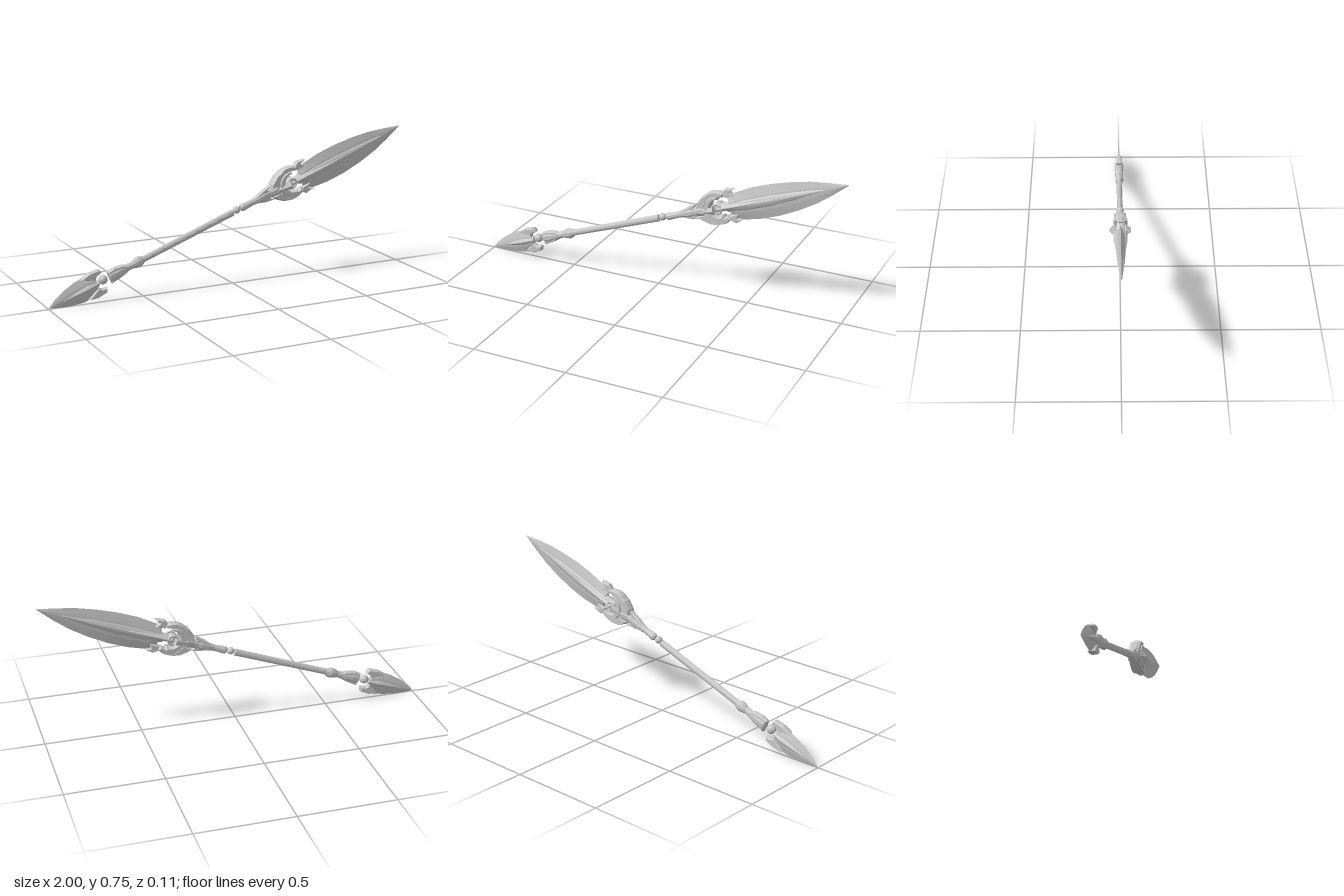
import * as THREE from 'three';

const steel = new THREE.MeshStandardMaterial({ color: 0xc8c8c8 });
steel.name = 'pale steel';
steel.flatShading = true;

// Cross-sections as [y, z] fractions, listed around the +x axis
const LEAF = [[1, 0], [0.45, 0.75], [0.1, 1], [-0.1, 1], [-0.45, 0.75], [-1, 0],
  [-0.45, -0.75], [-0.1, -1], [0.1, -1], [0.45, -0.75]];
const ROUND = Array.from({ length: 10 }, (_, i) => {
  const a = (i / 10) * Math.PI * 2;
  return [Math.cos(a), Math.sin(a)];
});

// Skins rings [x, top, bottom, halfDepth] with the given cross-section
function loft(rings, section) {
  const n = section.length, pos = [], idx = [];
  rings.forEach(([x, top, bottom, z]) => section.forEach(([fy, fz]) =>
    pos.push(x, (top + bottom) / 2 + fy * (top - bottom) / 2, fz * z)));
  for (let i = 0; i < rings.length - 1; i++) {
    for (let j = 0; j < n; j++) {
      const k = (j + 1) % n, a = i * n;
      idx.push(a + j, a + k, a + n + k, a + j, a + n + k, a + n + j);
    }
  }
  const last = (rings.length - 1) * n;
  for (let j = 1; j < n - 1; j++) {
    idx.push(0, j + 1, j, last, last + j, last + j + 1);
  }
  const geo = new THREE.BufferGeometry();
  geo.setAttribute('position', new THREE.Float32BufferAttribute(pos, 3));
  geo.setIndex(idx);
  const flat = geo.toNonIndexed();
  flat.computeVertexNormals();
  return flat;
}

// Bevelled plate centred on z = 0; points are [x, y]
function plate(shape, thickness) {
  const bevel = thickness * 0.3;
  const geo = new THREE.ExtrudeGeometry(shape, {
    depth: thickness - bevel * 2, bevelEnabled: true, bevelThickness: bevel,
    bevelSize: 0.006, bevelOffset: -0.006, bevelSegments: 1, curveSegments: 14,
  });
  return geo.translate(0, 0, bevel - thickness / 2);
}
const polygon = (pts) => new THREE.Shape(pts.map(([x, y]) => new THREE.Vector2(x, y)));

function crescent(r, inner, shift, open) {
  const pts = [];
  for (let i = 0; i <= 18; i++) {
    const a = open + (i / 18) * (Math.PI * 2 - open * 2);
    pts.push([r * Math.cos(a), r * Math.sin(a)]);
  }
  for (let i = 17; i > 0; i--) {
    const a = open + (i / 18) * (Math.PI * 2 - open * 2);
    pts.push([shift + inner * Math.cos(a), inner * Math.sin(a)]);
  }
  return polygon(pts);
}

export function createModel() {
  const model = new THREE.Group();
  const spear = new THREE.Group();
  spear.name = 'spear';
  model.add(spear);
  const add = (name, geo, x = 0, y = 0, z = 0) => {
    const mesh = new THREE.Mesh(geo, steel);
    mesh.name = name;
    mesh.position.set(x, y, z);
    spear.add(mesh);
    return mesh;
  };
  const round = (name, rings) =>
    add(name, loft(rings.map(([x, ry, rz]) => [x, ry, -ry, rz]), ROUND));

  // Head blade: thin leaf with raised panel and spine
  add('headBlade', loft([
    [0.42, 0.045, -0.055, 0.018], [0.46, 0.062, -0.082, 0.018], [0.56, 0.074, -0.094, 0.016],
    [0.67, 0.074, -0.094, 0.014], [0.78, 0.065, -0.082, 0.011], [0.88, 0.05, -0.063, 0.008],
    [0.97, 0.028, -0.036, 0.006], [1.03, 0.011, -0.014, 0.004], [1.066, 0.001, -0.001, 0.001],
  ], LEAF));
  add('headPanel', loft([
    [0.4, 0.022, -0.03, 0.028], [0.5, 0.036, -0.05, 0.025], [0.64, 0.038, -0.052, 0.022],
    [0.78, 0.026, -0.036, 0.018], [0.94, 0.001, -0.004, 0.011],
  ], LEAF));
  add('headSpine', loft([
    [0.36, 0.022, -0.022, 0.036], [0.44, 0.02, -0.022, 0.034], [0.55, 0.012, -0.016, 0.029],
    [0.72, 0.001, -0.004, 0.019],
  ], LEAF));

  // Head guard: layered crescents around a jewel
  add('guardCrescent', plate(crescent(0.09, 0.056, 0.02, 0.85), 0.05), 0.352, 0.002);
  add('guardInnerCrescent', plate(crescent(0.066, 0.044, 0.012, 1.15), 0.068), 0.35, 0.002);
  add('guardJewel', new THREE.IcosahedronGeometry(0.03, 1), 0.355, 0.002);
  for (const side of [1, -1]) {
    add('guardRing', new THREE.TorusGeometry(0.024, 0.007, 5, 12), 0.355, 0.002, side * 0.028);
    // Thorns hugging the blade root
    const thorn = [[0.405, 0.048], [0.4, 0.075], [0.425, 0.093], [0.475, 0.083], [0.445, 0.07], [0.46, 0.045]]
      .map(([x, y]) => [x, y * side]);
    add('guardThorn', plate(polygon(thorn), 0.036));
    const fin = [[0.235, 0.02], [0.25, 0.046], [0.29, 0.075], [0.34, 0.086], [0.31, 0.05], [0.29, 0.018]]
      .map(([x, y]) => [x, y * side]);
    add('guardFin', plate(polygon(fin), 0.056));
    // Cheeks swelling out to the front and back
    const cheek = add('guardCheek', new THREE.ConeGeometry(0.022, 0.12, 5), 0.285, 0, side * 0.024);
    cheek.rotation.set(0, -side * 0.18, Math.PI / 2);
  }

  // Neck with carved bulges
  round('neck', [
    [0.05, 0.016, 0.014], [0.062, 0.021, 0.019], [0.085, 0.019, 0.017], [0.12, 0.017, 0.015],
    [0.155, 0.022, 0.02], [0.19, 0.03, 0.022], [0.21, 0.026, 0.019], [0.235, 0.025, 0.022],
    [0.27, 0.035, 0.03], [0.31, 0.028, 0.026],
  ]);
  for (const side of [1, -1]) {
    const leaf = [[0.13, 0.01], [0.185, 0.032], [0.245, 0.042], [0.225, 0.024], [0.25, 0.01]]
      .map(([x, y]) => [x, y * side]);
    add('neckLeaf', plate(polygon(leaf), 0.03));
  }
  add('neckBall', new THREE.IcosahedronGeometry(0.02, 1), 0.026, 0.003);

  // Shaft with raised strips and end collar
  round('shaft', [[-0.565, 0.017, 0.013], [0.002, 0.019, 0.014]]);
  for (const side of [1, -1]) {
    add('shaftStrip', new THREE.BoxGeometry(0.54, 0.008, 0.004), -0.28, 0, side * 0.013);
  }
  round('shaftCollar', [
    [-0.6, 0.018, 0.015], [-0.578, 0.026, 0.021], [-0.56, 0.03, 0.023],
    [-0.545, 0.026, 0.019], [-0.53, 0.018, 0.014],
  ]);

  // Tail socket and ball joint
  round('tailSocket', [
    [-0.728, 0.022, 0.016], [-0.722, 0.034, 0.022], [-0.69, 0.032, 0.024], [-0.65, 0.027, 0.021],
    [-0.625, 0.02, 0.016], [-0.59, 0.018, 0.015],
  ]);
  add('tailSocketPlate', plate(polygon([
    [-0.728, -0.036], [-0.73, 0.03], [-0.69, 0.036], [-0.64, 0.026], [-0.615, 0.006], [-0.65, -0.026], [-0.69, -0.032],
  ]), 0.034));
  add('tailBall', new THREE.IcosahedronGeometry(0.025, 1), -0.762, 0.004);

  // Tail blade with raised spine and root sepals
  add('tailBlade', loft([
    [-1.066, 0.001, -0.001, 0.001], [-1.03, 0.022, -0.018, 0.005], [-0.97, 0.045, -0.041, 0.01],
    [-0.9, 0.06, -0.059, 0.014], [-0.84, 0.062, -0.062, 0.017], [-0.8, 0.05, -0.05, 0.017],
  ], LEAF));
  add('tailSpine', loft([
    [-1.0, 0.003, -0.003, 0.008], [-0.92, 0.02, -0.02, 0.019], [-0.85, 0.028, -0.028, 0.026],
    [-0.79, 0.018, -0.018, 0.02],
  ], LEAF));
  for (const side of [1, -1]) {
    const sepal = [[-0.87, 0.058], [-0.82, 0.071], [-0.765, 0.066], [-0.755, 0.042], [-0.785, 0.036], [-0.8, 0.02], [-0.83, 0.034]]
      .map(([x, y]) => [x, y * side]);
    add('tailSepal', plate(polygon(sepal), 0.036));
  }

  // Lean the spear and rest it on the ground
  spear.rotation.z = Math.atan2(0.74, 2);
  spear.updateMatrixWorld(true);
  spear.position.y = -new THREE.Box3().setFromObject(spear, true).min.y;
  return model;
}
